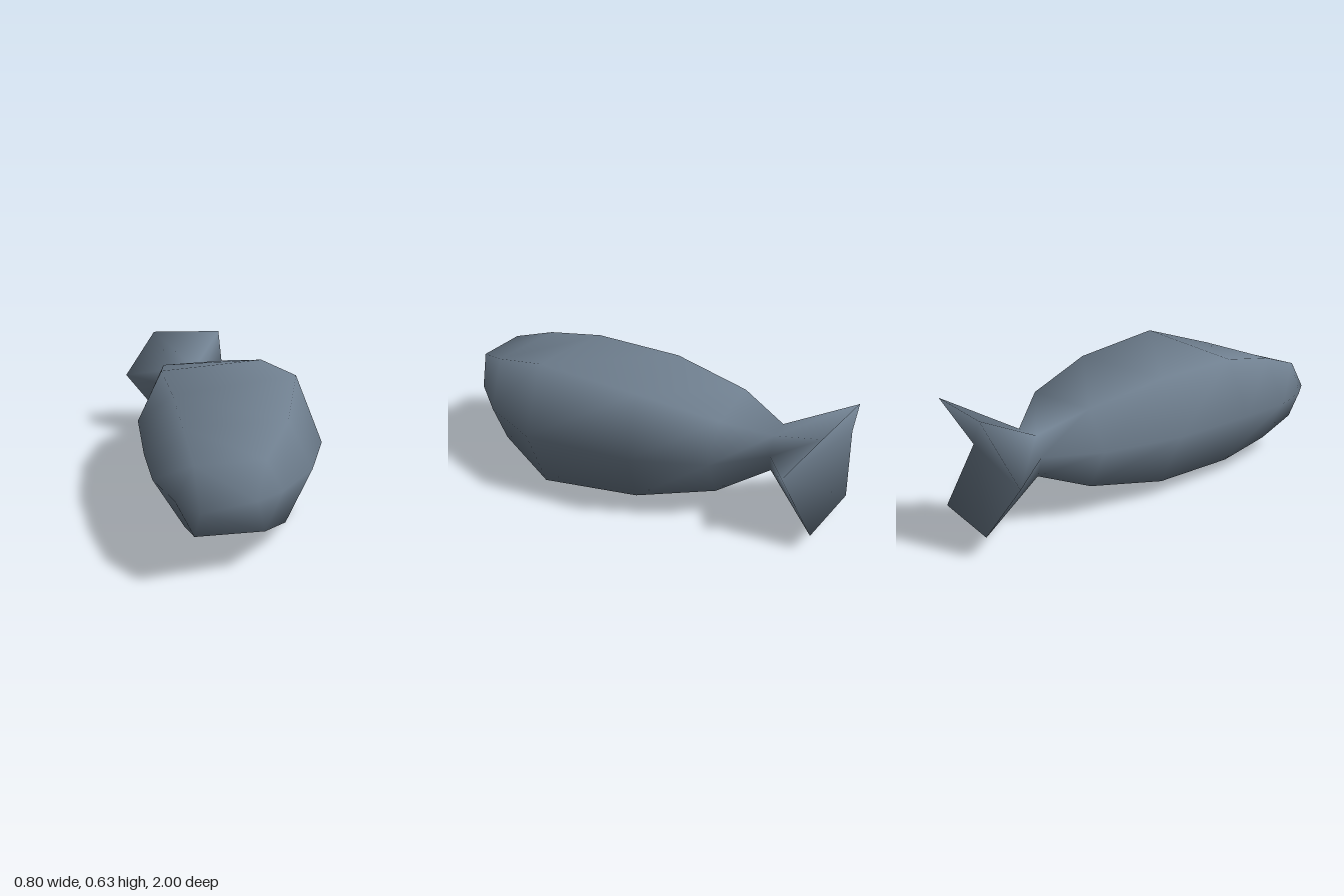
import * as THREE from 'three';

const MID = 0.318; // height of the widest line; top and bottom mirror about it

// Cross-sections from front to back, right side (+x) then left side (-x):
// [middle x, middle z, upper x, upper z, half height]
const SECTIONS = [
  { r: [0.085, 0.86, 0.01, 0.89, 0.147], l: [-0.335, 0.87, -0.265, 0.89, 0.145] },
  { r: [0.265, 0.66, 0.15, 0.68, 0.222], l: [-0.395, 0.65, -0.27, 0.66, 0.213] },
  { r: [0.4, 0.36, 0.27, 0.36, 0.317], l: [-0.4, 0.36, -0.27, 0.36, 0.257] },
  { r: [0.355, -0.15, 0.235, -0.13, 0.267], l: [-0.385, -0.09, -0.265, -0.09, 0.245] },
  { r: [0.225, -0.48, 0.14, -0.49, 0.179], l: [-0.295, -0.46, -0.21, -0.47, 0.175] },
  { r: [0.02, -0.69, -0.01, -0.69, 0.09], l: [-0.16, -0.69, -0.13, -0.69, 0.09] }, // neck
  { r: [0.175, -0.8, 0.175, -0.95, 0.24], l: [-0.375, -0.95, -0.2, -1, 0.24] }, // tail rim
];

export function createModel() {
  const group = new THREE.Group();
  const skin = new THREE.MeshStandardMaterial({ color: 0x708090 });
  skin.name = 'slate grey';

  // Nose ridge: two points shared by the whole first ring
  const positions = [-0.26, MID, 1, -0.03, MID, 0.93];
  const rings = [[1, 1, 0, 0, 0, 1]];

  // Six-sided rings, counterclockwise from the right-hand middle
  for (const { r, l } of SECTIONS) {
    const start = positions.length / 3;
    positions.push(
      r[0], MID, r[1],
      r[2], MID + r[4], r[3],
      l[2], MID + l[4], l[3],
      l[0], MID, l[1],
      l[2], MID - l[4], l[3],
      r[2], MID - r[4], r[3],
    );
    rings.push([0, 1, 2, 3, 4, 5].map((i) => start + i));
  }

  const bodyIndex = [];
  const tailIndex = [];
  const triangle = (list, a, b, c) => {
    if (a !== b && b !== c && a !== c) list.push(a, b, c);
  };

  // Skin between neighbouring rings; the last span is the tail flare
  for (let k = 0; k < rings.length - 1; k++) {
    const list = k === rings.length - 2 ? tailIndex : bodyIndex;
    for (let i = 0; i < 6; i++) {
      const j = (i + 1) % 6;
      const a = rings[k][i], b = rings[k][j], c = rings[k + 1][j], d = rings[k + 1][i];
      triangle(list, a, d, c);
      triangle(list, a, c, b);
    }
  }

  // Folded cap on the back of the tail
  const [mr, ur, ul, ml, ll, lr] = rings[rings.length - 1];
  tailIndex.push(ul, ur, mr, ml, ul, mr, mr, lr, ll, mr, ll, ml);

  // Normals are shared so that body and tail blend smoothly at the neck
  const whole = new THREE.BufferGeometry();
  whole.setAttribute('position', new THREE.Float32BufferAttribute(positions, 3));
  whole.setIndex([...bodyIndex, ...tailIndex]);
  whole.computeVertexNormals();

  for (const [name, index] of [['body', bodyIndex], ['tailFin', tailIndex]]) {
    const geometry = whole.clone();
    geometry.setIndex(index);
    const mesh = new THREE.Mesh(geometry, skin);
    mesh.name = name;
    group.add(mesh);
  }
  return group;
}
